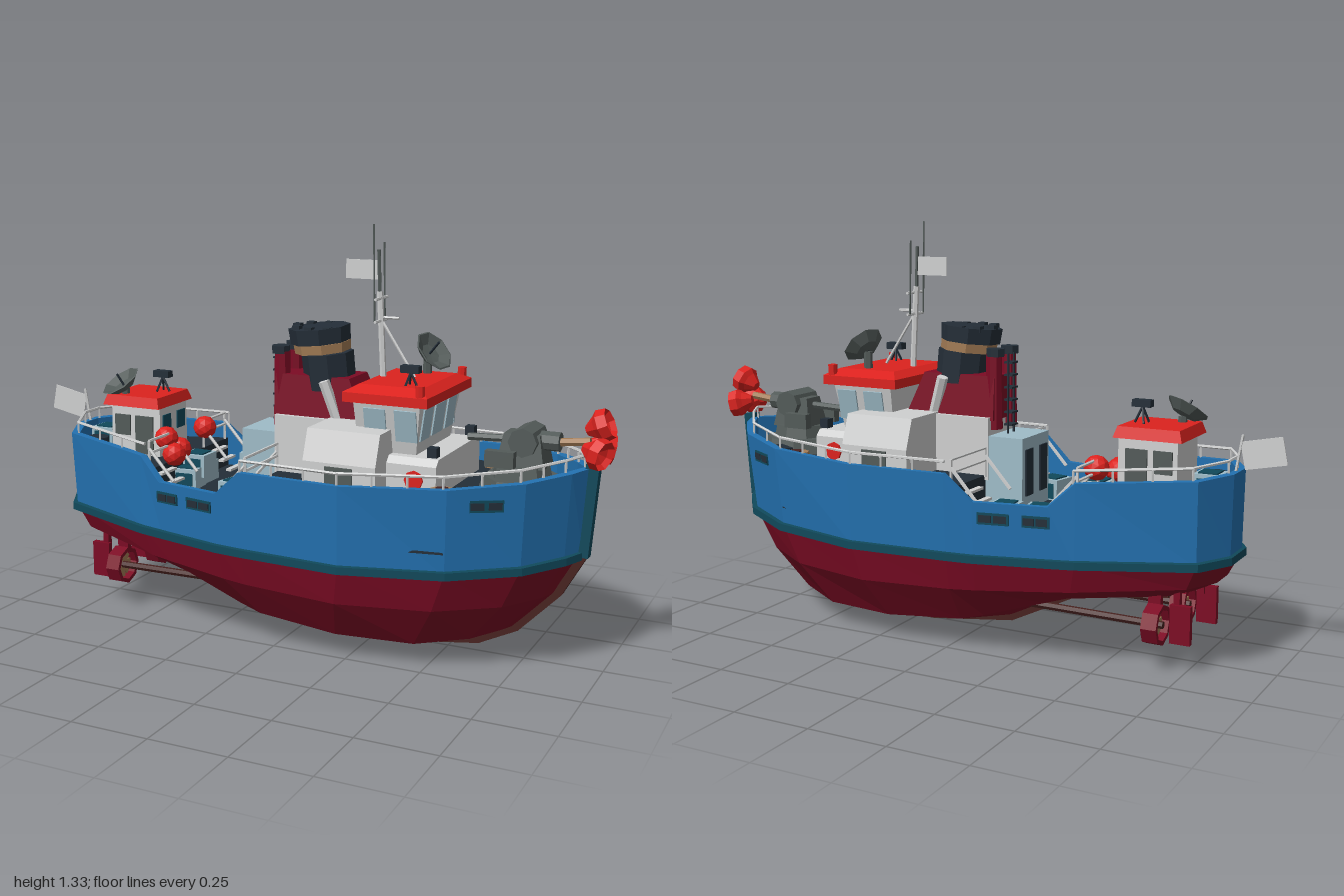
import * as THREE from 'three';

const mat = (name, color, side = THREE.FrontSide) => {
  const m = new THREE.MeshStandardMaterial({ color, side });
  m.name = name;
  return m;
};
const V = (x, y, z) => new THREE.Vector3(x, y, z);

export function createModel() {
  const blue = mat('hull blue', 0x2371b0), maroon = mat('maroon', 0x7c0b24), red = mat('bright red', 0xdc221e);
  const navy = mat('dark navy', 0x242e38), white = mat('off white', 0xcfd0d0, THREE.DoubleSide), grey = mat('gun grey', 0x535b59);
  const teal = mat('teal trim', 0x10495b), tan = mat('tan', 0xa37c55), brown = mat('keel brown', 0x47221f), pale = mat('pale blue', 0x9fbcc8);
  const root = new THREE.Group();
  root.name = 'ship';

  // ---- helpers: every part is faceted
  const add = (name, geo, m, p = [0, 0, 0], r = [0, 0, 0], parent = root) => {
    const g = geo.index ? geo.toNonIndexed() : geo;
    g.computeVertexNormals();
    const mesh = new THREE.Mesh(g, m);
    mesh.name = name;
    mesh.position.set(...p);
    mesh.rotation.set(...r);
    parent.add(mesh);
    return mesh;
  };
  const box = (name, m, w, h, d, p, r) => add(name, new THREE.BoxGeometry(w, h, d), m, p, r);
  const cyl = (name, m, rt, rb, h, p, n = 8, r) => add(name, new THREE.CylinderGeometry(rt, rb, h, n), m, p, r);
  const taper = (name, m, [w, h, d], [sx, sz], p, shift = 0) => {
    const g = new THREE.BoxGeometry(w, h, d), a = g.attributes.position;
    for (let i = 0; i < a.count; i++) if (a.getY(i) > 0) a.setXYZ(i, a.getX(i) * sx + shift, a.getY(i), a.getZ(i) * sz);
    return add(name, g, m, p);
  };
  const rod = (name, m, a, b, r, n = 5, r2 = r) => {
    const d = b.clone().sub(a);
    const mesh = add(name, new THREE.CylinderGeometry(r2, r, d.length(), n), m, a.clone().lerp(b, 0.5).toArray());
    mesh.quaternion.setFromUnitVectors(V(0, 1, 0), d.normalize());
    return mesh;
  };
  const beam = (name, m, a, b, w, h) => {
    const mesh = box(name, m, w, h, a.distanceTo(b) + 0.01, a.clone().lerp(b, 0.5).toArray());
    mesh.lookAt(b);
  };
  const lathe = (pts, n = 8) => new THREE.LatheGeometry(pts.map(q => new THREE.Vector2(...q)), n);
  // prism along x from a (z, y) section
  const prism = (name, m, pts, x0, x1) => {
    const g = new THREE.ExtrudeGeometry(new THREE.Shape(pts.map(q => new THREE.Vector2(...q))), { depth: x1 - x0, bevelEnabled: false });
    return add(name, g.rotateY(Math.PI / 2), m, [x0, 0, 0]);
  };

  // ---- hull stations: x, then z and y of rail, waterline, chine and bilge, then keel y
  const stations = [
    [-0.865, .055, .61, .055, .35, .05, .275, .03, .23, .21],
    [-0.80, .185, .605, .17, .348, .15, .27, .10, .225, .205],
    [-0.46, .29, .585, .285, .338, .265, .245, .19, .20, .17],
    [-0.38, .31, .51, .30, .336, .28, .24, .205, .18, .14],
    [-0.15, .355, .51, .345, .332, .32, .225, .235, .12, .055],
    [-0.06, .37, .59, .355, .332, .33, .22, .245, .10, .045],
    [0.28, .385, .59, .37, .33, .345, .21, .25, .075, .018],
    [0.60, .325, .60, .30, .335, .28, .21, .21, .07, .015],
    [0.80, .21, .615, .185, .345, .165, .215, .13, .085, .025],
    [0.90, .085, .627, .065, .355, .06, .225, .05, .10, .04],
    [0.94, 0, .632, 0, .36, 0, .235, 0, .105, .045]];
  const bowScale = [1, .98, .905, .77, .64], sternScale = [1, .995, .95, .85, .75];
  const loop = k => {
    const half = stations.map(s => V(s[0] * (s[0] > 0 ? bowScale : sternScale)[k], k < 4 ? s[2 + 2 * k] : s[9], k < 4 ? s[1 + 2 * k] : 0));
    return half.concat(half.slice(0, -1).reverse().map(p => V(p.x, p.y, -p.z)));
  };
  const offset = (row, sx, dz, dy = 0) => row.map(p => V(p.x * sx, p.y + dy, p.z + Math.sign(p.z) * dz));
  const strip = (name, m, up, low) => {
    const pos = [];
    up.forEach((u, i) => {
      const j = (i + 1) % up.length;
      for (const p of [u, low[i], low[j], u, low[j], up[j]]) pos.push(p.x, p.y, p.z);
    });
    const g = new THREE.BufferGeometry();
    g.setAttribute('position', new THREE.Float32BufferAttribute(pos, 3));
    return add(name, g, m);
  };
  const rows = [0, 1, 2, 3, 4].map(loop);
  strip('topsides', blue, rows[0], rows[1]);
  for (let k = 1; k < 4; k++) strip('lowerHull', maroon, rows[k], rows[k + 1]);
  const inner = offset(rows[0], 0.975, -0.02);
  strip('gunwale', blue, inner, rows[0]);
  strip('bulwarkInside', blue, inner.map(p => V(p.x, 0.42, p.z)), inner);
  // rubbing strake
  const hi = offset(rows[1], 1.012, .014, .012), lo = offset(rows[1], 1.012, .014, -.012);
  strip('strake', teal, hi, lo);
  strip('strakeTop', teal, offset(rows[1], 1, -.005, .014), hi);
  strip('strakeBottom', teal, lo, offset(rows[1], 1, -.005, -.014));
  // decks
  const deck = (name, a, b, y) => {
    const pts = inner.slice(a, b + 1).map(p => new THREE.Vector2(p.x, p.z + .003));
    const all = pts.concat(pts.slice().reverse().map(p => new THREE.Vector2(p.x, -p.y)));
    add(name, new THREE.ExtrudeGeometry(new THREE.Shape(all), { depth: y - .4, bevelEnabled: false }).rotateX(-Math.PI / 2), navy, [0, .4, 0]);
  };
  deck('aftDeck', 0, 2, .53);
  deck('midDeck', 2, 5, .43);
  deck('foreDeck', 5, 10, .535);
  // keel and stem
  const keel = [0, 2, 3, 4, 6, 7, 10].map(i => rows[4][i]).concat([rows[3][10], rows[2][10], rows[1][10]]);
  keel.slice(1).forEach((p, i) => beam('keel', brown, keel[i], p, .036, .032));
  beam('stem', teal, rows[1][10], V(.943, .64, 0), .036, .04);

  // ---- railings
  const railRow = offset(inner, 1, .008, .036);
  railRow.forEach((p, i) => {
    const q = railRow[(i + 1) % railRow.length];
    if (p.y < .56 || q.y < .56) return;
    rod('handrail', white, p, q, .005);
    const n = Math.max(1, Math.round(p.distanceTo(q) / .1));
    for (let k = 0; k < n; k++) {
      const t = p.clone().lerp(q, k / n);
      rod('railPost', white, t, V(t.x, t.y - .04, t.z), .004, 4);
    }
  });

  // ---- rudders, propellers, scuppers and break-of-deck steps on both sides
  const hullSide = (x, y) => {
    const i = stations.findIndex(s => s[0] > x), a = rows[0][i - 1], b = rows[0][i], c = rows[1][i - 1], d = rows[1][i];
    const p = a.clone().lerp(b, (x - a.x) / (b.x - a.x)), w = c.clone().lerp(d, (x - c.x) / (d.x - c.x));
    return { z: w.z + (p.z - w.z) * (y - w.y) / (p.y - w.y), turn: -Math.atan2(b.z - a.z, b.x - a.x) };
  };
  for (const s of [1, -1]) {
    box('rudder', maroon, .065, .12, .02, [-.735, .15, s * .12]);
    box('rudderStock', maroon, .02, .1, .02, [-.72, .235, s * .11]);
    add('propellerNozzle', lathe([[.05, -.025], [.064, -.025], [.064, .025], [.05, .025], [.05, -.025]]), maroon, [-.655, .14, s * .12], [0, 0, Math.PI / 2]);
    box('nozzleStrut', maroon, .04, .06, .02, [-.65, .215, s * .11]);
    for (let k = 0; k < 4; k++) box('propellerBlade', tan, .006, .09, .022, [-.655, .14, s * .12], [k * Math.PI / 4, 0, 0]);
    rod('propellerShaft', brown, V(-.68, .14, s * .12), V(-.2, .145, s * .12), .012, 6);
    for (const [x, y, w] of [[-.345, .462, .085], [-.215, .462, .1], [.70, .55, .1]]) {
      const h = hullSide(x, y);
      box('scupperFrame', teal, w, .036, .008, [x, y, s * (h.z + .001)], [0, s * h.turn, 0]);
      for (const e of [-.23, .23]) box('scupper', navy, w * .4, .022, .008, [x + e * w, y, s * (hullSide(x + e * w, y).z + .004)], [0, s * h.turn, 0]);
    }
    for (const [x, z0, z1, dir] of [[-.06, .1, .32, -1], [-.45, .1, .25, 1]]) {
      for (const y of [.585, .625]) rod('breakRail', white, V(x, y, s * z0), V(x, y, s * z1), .005);
      for (const z of [z0, z1]) {
        rod('breakPost', white, V(x, .53, s * z), V(x, .625, s * z), .005);
        rod('stairRail', white, V(x, .6, s * z), V(x + dir * .09, .5, s * z), .006);
      }
      for (let k = 0; k < 3; k++) box('stairTread', white, .02, .008, .09, [x + dir * (.02 + k * .03), .51 - k * .03, s * (z0 + z1) / 2]);
    }
    // deck fittings
    cyl('ropeDrum', tan, .04, .04, .045, [.56, .56, s * .255]);
    cyl('ropeDrumCap', brown, .02, .02, .055, [.56, .56, s * .255]);
    box('anchorWinch', navy, .085, .05, .06, [.655, .56, s * .225], [0, s * .5, 0]);
    cyl('sternBollard', navy, .04, .04, .05, [-.755, .555, s * .1]);
    cyl('lifeRing', red, .03, .03, .015, [.45, .585, s * .2], 8, [Math.PI / 2, 0, 0]);
  }
  cyl('ropeDrum', tan, .045, .045, .05, [-.67, .555, -.15]);

  // ---- crates
  for (const [x, y, z, r] of [[-.33, .46, -.25, .2], [-.22, .46, -.265, .1], [-.19, .46, .14, -.2], [-.41, .5, 0, 0], [-.43, .46, -.05, 0], [-.42, .46, .05, .1], [-.775, .56, 0, 0]]) {
    box('crate', pale, .085, .075, .085, [x, y, z], [0, r, 0]);
    box('crateLid', teal, .06, .006, .06, [x, y + .039, z], [0, r, 0]);
    box('crateSide', teal, .06, .05, .09, [x, y, z], [0, r, 0]);
  }
  // floats by the aft house
  for (const [x, y, z] of [[-.47, .605, .11], [-.435, .555, .12], [-.45, .56, .06], [-.45, .6, -.11]]) add('float', new THREE.IcosahedronGeometry(.04, 1), red, [x, y, z]);

  // ---- main house and bridge
  prism('mainHouse', white, [[-.285, .53], [.285, .53], [.285, .63], [.25, .725], [-.25, .725], [-.285, .63]], .12, .36);
  prism('frontHouse', white, [[-.2, .53], [.2, .53], [.2, .63], [.18, .65], [-.18, .65], [-.2, .63]], .36, .52);
  taper('bridge', white, [.18, .22, .28], [1.22, 1.32], [.34, .71, 0], .01);
  taper('bridgeRoofEdge', red, [.275, .03, .4], [1, 1], [.35, .82, 0]);
  taper('bridgeRoof', red, [.275, .02, .4], [.75, .75], [.35, .845, 0]);
  for (const s of [1, -1]) {
    box('sideWindow', pale, .07, .1, .008, [.41, .74, s * .17], [s * .2, 0, 0]);
    box('sideWindow', pale, .07, .1, .008, [.31, .74, s * .17], [s * .2, 0, 0]);
    box('frontWindow', pale, .008, .1, .075, [.45, .74, s * .105], [0, 0, -.136]);
    cyl('roofLamp', red, .015, .015, .04, [.46, .85, s * .185]);
    box('searchlight', navy, .03, .03, .03, [.5, .67, s * .17]);
    box('houseHatch', grey, .09, .06, .008, [.24, .59, s * .285]);
  }
  box('frontWindow', pale, .008, .1, .09, [.45, .74, 0], [0, 0, -.136]);

  // ---- funnel and engine casing
  box('engineHouse', white, .2, .2, .2, [.03, .62, 0]);
  box('aftLocker', pale, .14, .235, .19, [-.12, .545, 0]);
  for (const z of [-.05, .05]) box('lockerDoor', navy, .008, .15, .05, [-.191, .55, z]);
  taper('casing', maroon, [.32, .14, .17], [.8, .85], [.08, .78, 0], -.03);
  const funnelBits = [['funnelBody', navy, .084, .08, .26, .79], ['funnelBand', tan, .092, .09, .03, .935], ['funnelCap', navy, .1, .096, .05, .975]];
  for (const [n, m, rt, rb, h, y] of funnelBits) cyl(n, m, rt, rb, h, [.085 - (y - .79) * .22, y, 0], 8, [0, Math.PI / 8, .1]);
  for (let k = 0; k < 8; k++) {
    const a = k * Math.PI / 4;
    box('funnelTooth', navy, .025, .02, .025, [.042 + Math.cos(a) * .075, .995, Math.sin(a) * .075]);
  }
  for (const s of [1, -1]) {
    cyl('exhaust', maroon, .026, .03, .24, [-.065, .8, s * .05]);
    cyl('exhaustCap', navy, .03, .03, .025, [-.07, .925, s * .05]);
    rod('steamPipe', white, V(.14, .72, s * .075), V(.1, .84, s * .09), .018, 6);
    rod('ladderSide', navy, V(-.1, .66, s * .02), V(-.1, .92, s * .02), .004);
  }
  for (let k = 0; k < 6; k++) box('ladderRung', navy, .03, .006, .04, [-.1, .69 + k * .04, 0]);

  // ---- mast, aerials and flags
  rod('mast', white, V(.265, .84, 0), V(.25, 1.12, 0), .01, 6);
  rod('topMast', grey, V(.25, 1.1, 0), V(.245, 1.25, 0), .006);
  rod('mastBrace', white, V(.258, 1.03, 0), V(.37, .86, 0), .005);
  rod('mastArm', white, V(.255, 1.04, 0), V(.315, 1.04, 0), .005);
  for (const y of [1.03, 1.1]) rod('crossArm', white, V(.255, y, -.05), V(.255, y, .05), .005);
  rod('aerial', grey, V(.25, 1.03, .042), V(.245, 1.33, .042), .003);
  rod('aerial', grey, V(.25, 1.03, -.042), V(.245, 1.27, -.042), .003);
  box('mastFlag', white, .11, .06, .004, [.19, 1.187, 0]);
  rod('sternStaff', white, V(-.85, .6, 0), V(-.87, .72, 0), .005);
  box('sternFlag', white, .13, .085, .004, [-.935, .67, 0], [0, 0, -.2]);

  // ---- dishes and tripod sights
  const dish = lathe([[0, 0], [.04, .006], [.072, .032], [.067, .034], [.035, .015], [0, .012]]);
  for (const [x, y, z, tilt, base] of [[.37, .91, -.11, [.35, 0, -.85], .85], [-.66, .75, .06, [.5, 0, .35], .72]]) {
    add('dish', dish, grey, [x, y, z], tilt);
    rod('dishStand', grey, V(x, base, z), V(x, y, z), .014, 6);
    rod('dishFeed', navy, V(x, y, z), V(x - Math.sin(tilt[2]) * .06, y + .05, z + .02), .004);
  }
  for (const [x, y, z] of [[.4, .845, .11], [-.56, .735, -.02]]) {
    for (let k = 0; k < 3; k++) rod('tripodLeg', navy, V(x + Math.cos(k * 2.1) * .025, y, z + Math.sin(k * 2.1) * .025), V(x, y + .05, z), .004);
    box('tripodSight', navy, .06, .022, .03, [x, y + .06, z]);
  }

  // ---- aft house
  taper('aftHouse', white, [.19, .18, .18], [1, .95], [-.605, .61, 0]);
  taper('aftRoof', red, [.22, .035, .22], [.9, .9], [-.61, .715, 0]);
  for (const s of [1, -1]) {
    box('aftDoor', grey, .07, .13, .008, [-.57, .6, s * .089]);
    box('aftPanel', grey, .06, .07, .008, [-.655, .63, s * .089]);
    box('aftWindow', teal, .008, .06, .05, [-.51, .64, s * .045]);
  }

  // ---- bow gun with a three-horn head
  cyl('gunBase', grey, .12, .135, .05, [.725, .56, 0], 8, [0, Math.PI / 8, 0]);
  cyl('gunTurntable', grey, .085, .095, .04, [.725, .605, 0]);
  taper('gunBody', grey, [.15, .1, .11], [.75, .7], [.73, .67, 0]);
  cyl('gunDrum', grey, .045, .045, .13, [.74, .7, 0], 8, [Math.PI / 2, 0, 0]);
  rod('gunBarrel', grey, V(.55, .69, 0), V(.8, .7, 0), .012, 6);
  rod('gunSleeve', grey, V(.78, .7, 0), V(.84, .7, 0), .03, 8);
  rod('gunBarrel', tan, V(.84, .7, 0), V(.93, .71, 0), .013, 6);
  for (const s of [1, -1]) box('gunSeat', grey, .09, .05, .03, [.68, .65, s * .085]);
  const horn = lathe([[0, 0], [.016, 0], [.036, .03], [.05, .045], [.046, .075], [.034, .06], [0, .045]]);
  for (let k = 0; k < 3; k++) {
    const a = Math.PI / 2 + k * Math.PI * 2 / 3, c = Math.cos(a), s = Math.sin(a);
    const m = add('horn', horn, red, [.918, .712 + s * .03, c * .03]);
    m.quaternion.setFromUnitVectors(V(0, 1, 0), V(1, s * .45, c * .45).normalize());
  }
  return root;
}
